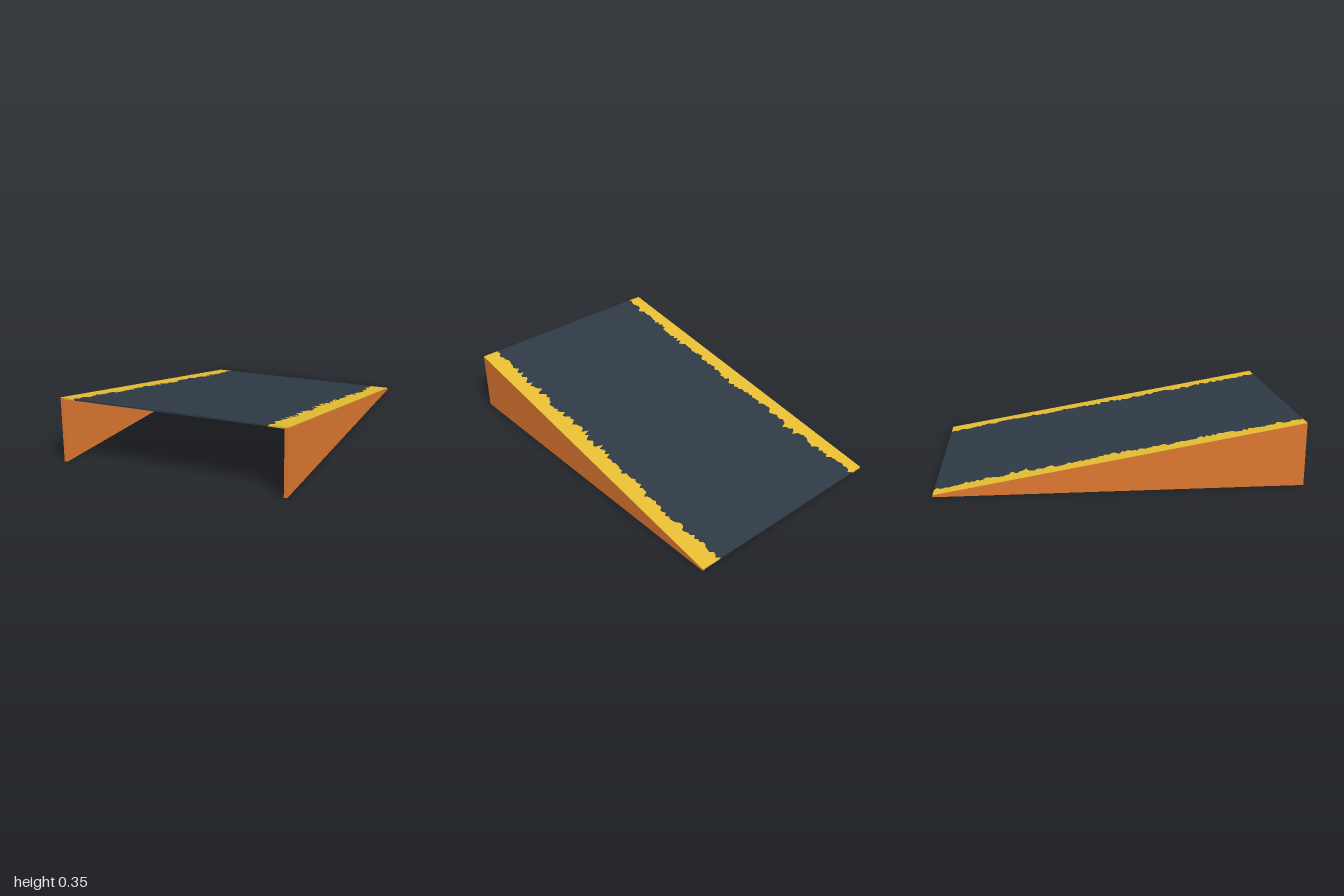
import * as THREE from 'three';

const HALF_W = 0.627, INNER = 0.61, THICK = 0.008, CAP = 0.002;
const topAt = z => 0.0125 + (z + 1) * 0.171; // height of the ramp surface

function seeded(seed) {
  return () => {
    seed = (seed * 16807) % 2147483647;
    return seed / 2147483647;
  };
}

// Ragged paint line running from z = 1 to z = -1, as [distance from centre, -z]
function raggedEdge(seed) {
  const rnd = seeded(seed), pts = [];
  const n = 130;
  let drift = 0;
  for (let i = 0; i <= n; i++) {
    drift = drift * 0.8 + (rnd() - 0.5) * 0.02;
    const spike = rnd() < 0.12 ? rnd() * 0.035 : 0;
    const x = THREE.MathUtils.clamp(0.533 + drift + (rnd() - 0.5) * 0.026 - spike, 0.47, 0.565);
    pts.push([x, -1 + (2 * i) / n]);
  }
  return pts;
}

// Extrudes a plan outline and shears it so its upper face follows the slope
function slopedSlab(outline, thick) {
  const shape = new THREE.Shape(outline.map(([x, y]) => new THREE.Vector2(x, y)));
  const geo = new THREE.ExtrudeGeometry(shape, { depth: thick, bevelEnabled: false });
  geo.rotateX(-Math.PI / 2);
  const p = geo.attributes.position;
  for (let i = 0; i < p.count; i++) p.setY(i, p.getY(i) + topAt(p.getZ(i)) - thick);
  geo.computeVertexNormals();
  return geo;
}

export function createModel() {
  const group = new THREE.Group();
  const dark = new THREE.MeshStandardMaterial({ color: 0x2e3a45 });
  const yellow = new THREE.MeshStandardMaterial({ color: 0xe6bd32 });
  const orange = new THREE.MeshStandardMaterial({ color: 0xe07830 });
  const add = (name, geo, mat) => {
    const mesh = new THREE.Mesh(geo, mat);
    mesh.name = name;
    group.add(mesh);
  };

  const edges = { left: raggedEdge(4711), right: raggedEdge(90210) };

  // Dark driving surface between the two ragged paint lines
  const leftLine = edges.left;
  const rightLine = edges.right.map(([x, y]) => [-x, y]);
  add('deck', slopedSlab([...leftLine, ...rightLine.slice().reverse()], THICK), dark);

  for (const [side, s] of [['left', 1], ['right', -1]]) {
    // Painted margin, sharing the ragged line with the deck
    const line = edges[side].map(([x, y]) => [s * x, y]);
    add(side + 'PaintedEdge', slopedSlab([[s * INNER, -1], [s * INNER, 1], ...line.reverse()], THICK), yellow);

    // Thin painted strip over the side panel
    add(side + 'PanelCap', slopedSlab(
      [[s * INNER, -1], [s * HALF_W, -1], [s * HALF_W, 1], [s * INNER, 1]], CAP), yellow);

    // Wedge-shaped side panel standing on the ground
    const panel = new THREE.BoxGeometry(HALF_W - INNER, 1, 2);
    const p = panel.attributes.position;
    for (let i = 0; i < p.count; i++) p.setY(i, p.getY(i) > 0 ? topAt(p.getZ(i)) - CAP : 0);
    panel.computeVertexNormals();
    panel.translate(s * (HALF_W + INNER) / 2, 0, 0);
    add(side + 'Panel', panel, orange);
  }
  return group;
}
